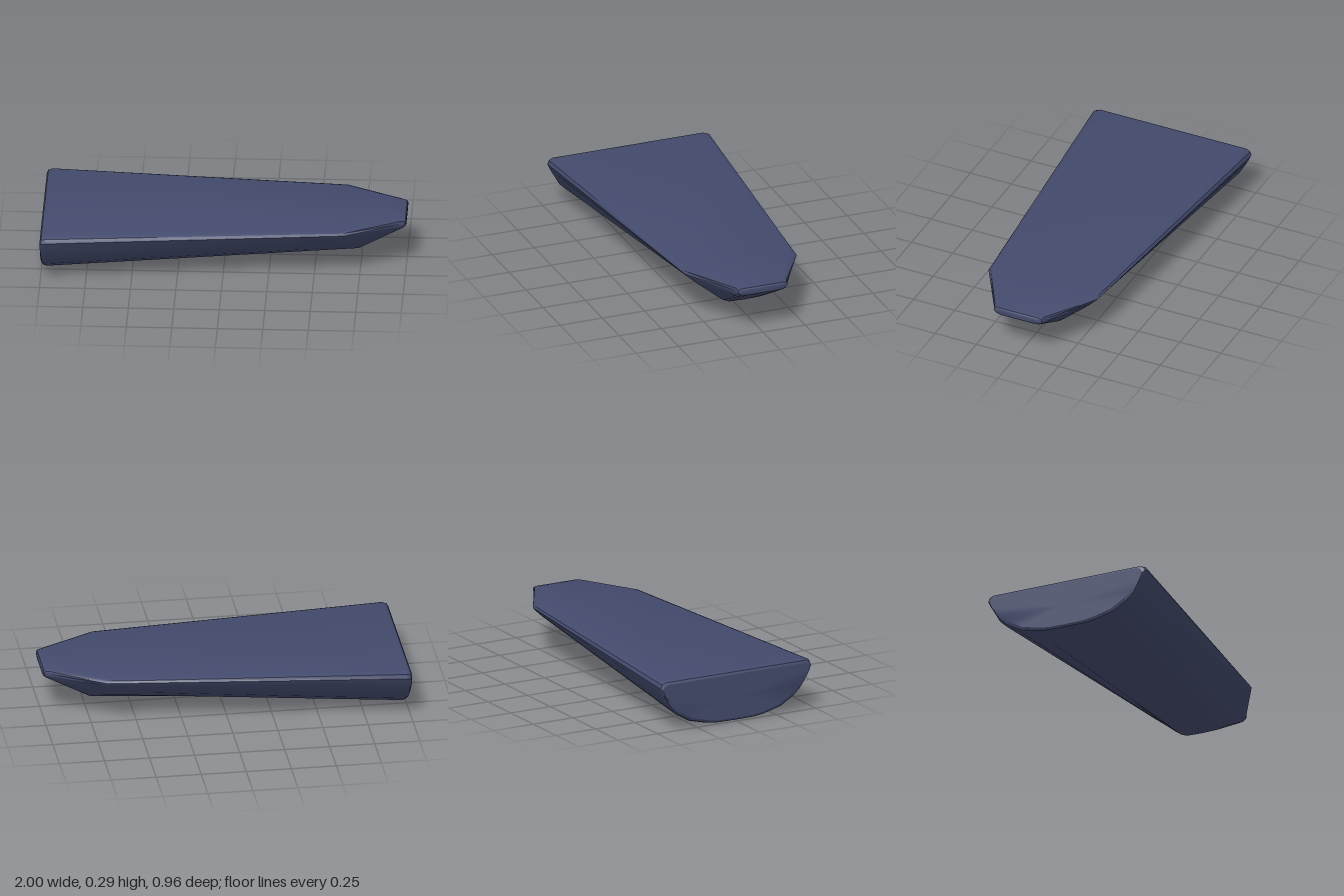
import * as THREE from 'three';
import { toCreasedNormals } from 'three/addons/utils/BufferGeometryUtils.js';

// Half profiles as [x, y, z], from the deck edge down to the keel
const stern = [
  [-0.97, 0.287, 0.45], [-0.97, 0.277, 0.473], [-0.97, 0.255, 0.482], [-0.97, 0.22, 0.467], [-0.97, 0.125, 0.413],
  [-0.97, 0.085, 0.37], [-0.97, 0.037, 0.29], [-0.97, 0.009, 0.18], [-0.97, 0.001, 0.12], [-0.97, 0, 0]];
const shoulder = [
  [0.65, 0.287, 0.305], [0.66, 0.279, 0.325], [0.67, 0.268, 0.332], [0.68, 0.25, 0.315], [0.70, 0.205, 0.262],
  [0.715, 0.17, 0.215], [0.73, 0.13, 0.165], [0.738, 0.105, 0.13], [0.74, 0.091, 0.095], [0.74, 0.088, 0]];
const nose = [
  [0.965, 0.286, 0.135], [0.97, 0.28, 0.15], [0.975, 0.265, 0.152], [0.978, 0.252, 0.15], [0.98, 0.245, 0.145],
  [0.982, 0.24, 0.14], [0.984, 0.236, 0.133], [0.985, 0.233, 0.125], [0.985, 0.23, 0.1], [0.985, 0.23, 0]];

// Rounded end: the profile pulled in towards a centre height
const inset = (half, x, amount, cy) => half.map(([, y, z]) => [
  x, y + THREE.MathUtils.clamp(cy - y, -amount, amount), Math.max(0, z - amount)]);

// Full section, mirrored across the keel
const mirror = half => [...half, ...half.slice(0, -1).reverse().map(([x, y, z]) => [x, y, -z])];

function loft(rings) {
  const n = rings[0].length, pos = rings.flat(2), index = [];
  for (let r = 0; r < rings.length - 1; r++) {
    for (let i = 0; i < n; i++) {
      const j = (i + 1) % n;
      const a = r * n + i, b = r * n + j, c = a + n, d = b + n;
      index.push(a, b, d, a, d, c);
    }
  }
  // Flat end caps
  [0, rings.length - 1].forEach((r, end) => {
    const o = pos.length / 3;
    for (let k = 0; k < 3; k++) pos.push(rings[r].reduce((s, p) => s + p[k], 0) / n);
    for (let i = 0; i < n; i++) {
      const a = r * n + i, b = r * n + (i + 1) % n;
      index.push(o, end ? a : b, end ? b : a);
    }
  });
  const g = new THREE.BufferGeometry();
  g.setAttribute('position', new THREE.Float32BufferAttribute(pos, 3));
  g.setIndex(index);
  return toCreasedNormals(g, 0.45);
}

export function createModel() {
  const group = new THREE.Group();
  group.name = 'taperedHull';
  const rings = [
    inset(stern, -1, 0.018, 0.15),
    inset(stern, -0.992, 0.006, 0.15),
    stern,
    shoulder,
    nose,
    inset(nose, 0.995, 0.006, 0.258),
    inset(nose, 1, 0.015, 0.258),
  ].map(mirror);
  const hull = new THREE.Mesh(loft(rings), new THREE.MeshStandardMaterial({ color: 0x434a6c }));
  hull.name = 'hull';
  group.add(hull);
  return group;
}
